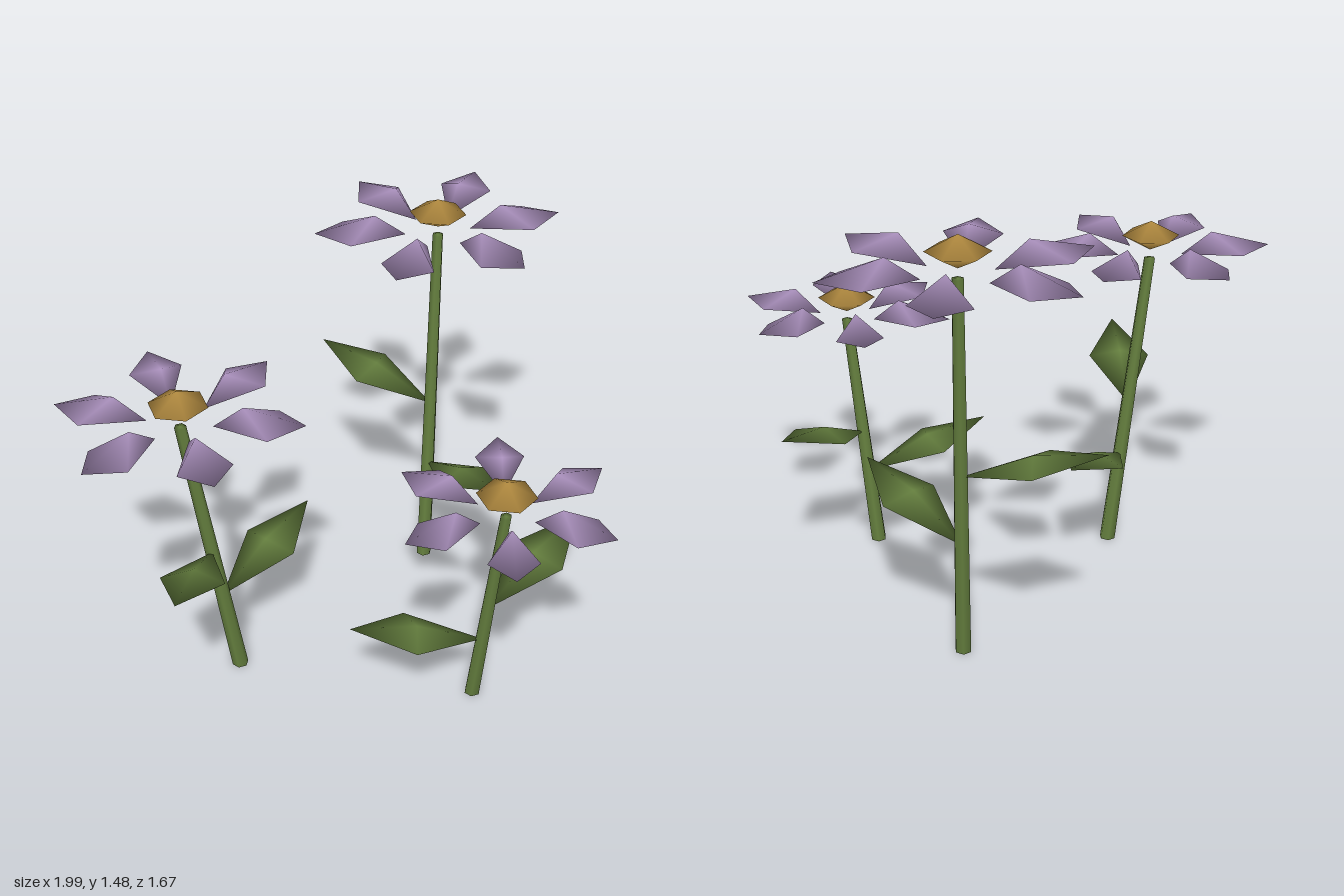
import * as THREE from 'three';
import { mergeVertices } from 'three/addons/utils/BufferGeometryUtils.js';

// Weld all corners so the shading runs smoothly over every edge
function soften(geometry) {
  geometry.deleteAttribute('uv');
  geometry.deleteAttribute('normal');
  const welded = mergeVertices(geometry, 1e-4);
  welded.computeVertexNormals();
  return welded;
}

// Kite-shaped blade from base to tip, with a raised point on its upper side
function bladeGeometry(base, tip, halfWidth, wideAt, peakAt, rise) {
  const along = tip.clone().sub(base);
  const side = along.clone().cross(new THREE.Vector3(0, 1, 0)).normalize();
  const normal = side.clone().cross(along).normalize();
  const at = (t, s, n) => base.clone().addScaledVector(along, t)
    .addScaledVector(side, s).addScaledVector(normal, n);
  const points = [base, at(wideAt, halfWidth, 0), tip, at(wideAt, -halfWidth, 0), at(peakAt, 0, rise)];
  const geometry = new THREE.BufferGeometry().setFromPoints(points);
  geometry.setIndex([4, 0, 1, 4, 1, 2, 4, 2, 3, 4, 3, 0, 0, 2, 1, 0, 3, 2]);
  geometry.computeVertexNormals();
  return geometry;
}

// Tapered six-sided stem, sheared from its foot to its top
function stemGeometry(foot, top) {
  const geometry = new THREE.CylinderGeometry(0.02, 0.029, top.y, 6);
  geometry.translate(0, top.y / 2, 0);
  const p = geometry.attributes.position;
  for (let i = 0; i < p.count; i++) {
    const t = p.getY(i) / top.y;
    p.setX(i, p.getX(i) + foot.x + (top.x - foot.x) * t);
    p.setZ(i, p.getZ(i) + foot.z + (top.z - foot.z) * t);
  }
  return soften(geometry);
}

// foot: stem on the ground; head: centre of the bloom at petal tip height;
// leaves: height on the stem, then the leaf tip
const FLOWERS = [
  { name: 'rightFlower', foot: [-0.463, 0, -0.412], head: [-0.58, 1.12, -0.478], reach: 0.417, turn: 0,
    leaves: [[0.535, -0.914, 0.68, -0.213], [0.337, -0.035, 0.475, -0.44]] },
  { name: 'frontFlower', foot: [-0.056, 0, 0.338], head: [-0.067, 0.895, 0.457], reach: 0.383, turn: 19.6,
    leaves: [[0.425, 0.4, 0.57, 0.44], [0.272, -0.42, 0.405, 0.085]] },
  { name: 'leftFlower', foot: [0.463, 0, -0.288], head: [0.577, 1.39, -0.325], reach: 0.438, turn: 40.7,
    leaves: [[0.67, 0.438, 0.815, -0.762], [0.415, 0.347, 0.56, 0.135]] },
];

export function createModel() {
  const material = (name, color) => {
    const m = new THREE.MeshStandardMaterial({ color });
    m.name = name;
    return m;
  };
  const green = material('leafGreen', 0x647e3e);
  const purple = material('petalPurple', 0xac92bf);
  const gold = material('centreGold', 0xb58d41);

  const model = new THREE.Group();
  model.name = 'flowers';

  for (const spec of FLOWERS) {
    const flower = new THREE.Group();
    flower.name = spec.name;
    model.add(flower);
    const add = (name, geometry, mat) => {
      const mesh = new THREE.Mesh(geometry, mat);
      mesh.name = name;
      flower.add(mesh);
      return mesh;
    };
    const foot = new THREE.Vector3(...spec.foot);
    const head = new THREE.Vector3(...spec.head);

    // Stem
    const stemTop = head.clone();
    stemTop.y -= 0.045;
    add('stem', stemGeometry(foot, stemTop), green);

    // Leaves
    for (const [height, ...tip] of spec.leaves) {
      const base = foot.clone().lerp(stemTop, height / stemTop.y);
      add('leaf', bladeGeometry(base, new THREE.Vector3(...tip), 0.11, 0.55, 0.52, 0.035), green);
    }

    // Six petals in a ring
    const size = spec.reach / 0.417;
    for (let i = 0; i < 6; i++) {
      const a = THREE.MathUtils.degToRad(spec.turn + i * 60);
      const ring = (r, y) => new THREE.Vector3(head.x + Math.cos(a) * r, head.y + y, head.z + Math.sin(a) * r);
      add('petal', bladeGeometry(ring(0.11 * size, -0.033), ring(spec.reach, 0), 0.09 * size, 0.65, 0.36, 0.07), purple);
    }

    // Six-sided flower centre
    const centre = add('flowerCentre', soften(new THREE.SphereGeometry(1, 6, 2).scale(0.1, 0.052, 0.1)), gold);
    centre.position.set(head.x, head.y + 0.038, head.z);
  }
  return model;
}
